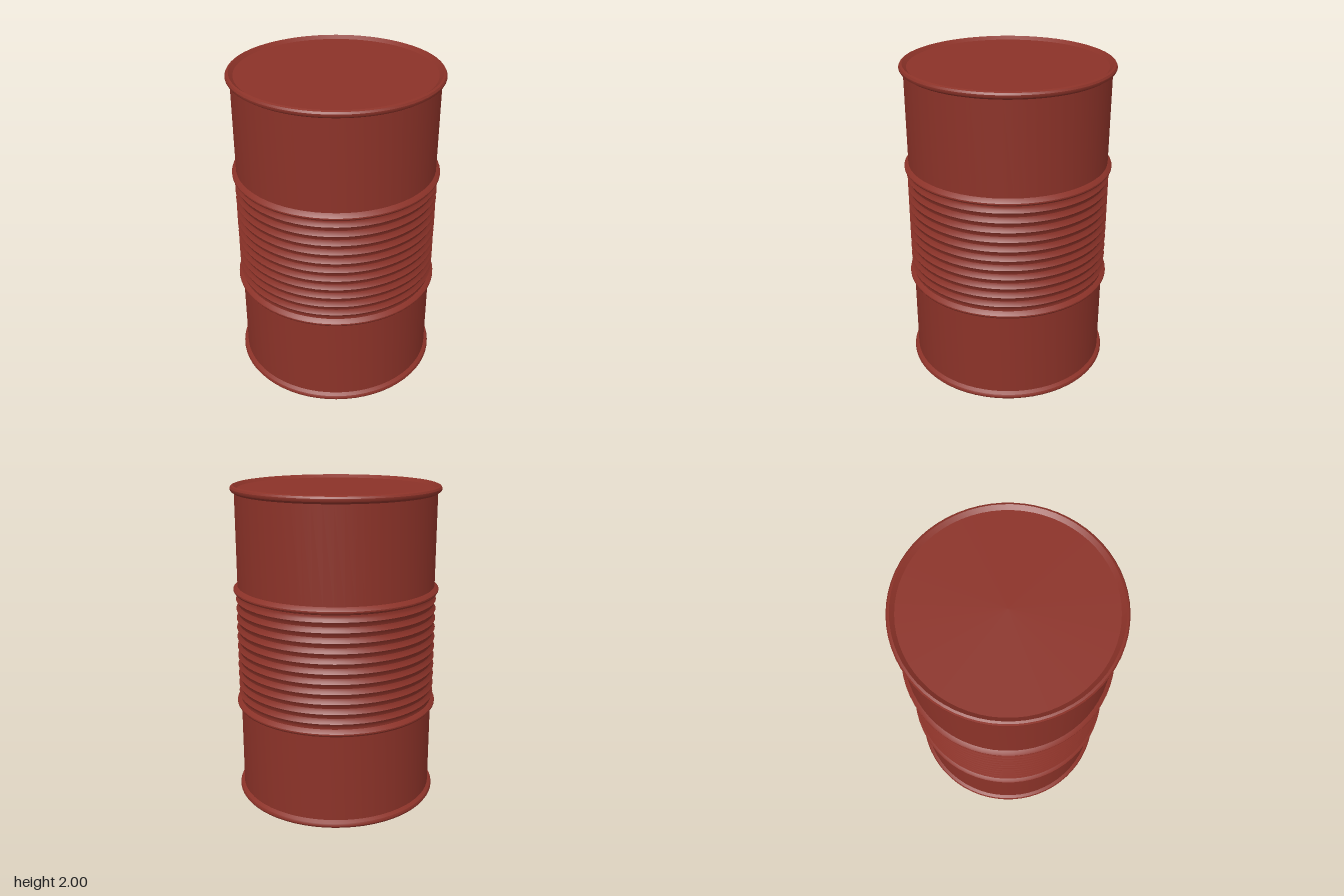
import * as THREE from 'three';
import { toCreasedNormals } from 'three/addons/utils/BufferGeometryUtils.js';

const SEGMENTS = 64;
const BODY = 0.62; // shell radius
const LOW = 0.62, HIGH = 1.36; // heights of the two rolling hoops

export function createModel() {
  const drum = new THREE.Group();
  drum.name = 'drum';
  const redPaint = new THREE.MeshStandardMaterial({ color: 0x8b3228, side: THREE.DoubleSide });
  redPaint.name = 'redPaint';

  // Revolves [radius, height] pairs; upward profiles face outward
  const addLathe = (name, profile) => {
    const points = profile.map(([r, y]) => new THREE.Vector2(r, y));
    const geometry = toCreasedNormals(new THREE.LatheGeometry(points, SEGMENTS), 0.5);
    const mesh = new THREE.Mesh(geometry, redPaint);
    mesh.name = name;
    drum.add(mesh);
  };

  // Plain shell walls
  addLathe('lowerShell', [[BODY, 0.04], [BODY, LOW]]);
  addLathe('upperShell', [[BODY, HIGH], [BODY, 1.96]]);

  // Corrugated middle: eleven ribs with sharp crests and soft valleys
  const ribs = [[BODY, LOW]];
  const pitch = (HIGH - LOW) / 12;
  for (let i = 1; i < 12; i++) {
    const y = LOW + i * pitch;
    ribs.push([0.617, y - pitch / 2], [0.621, y - pitch * 0.25], [0.632, y],
      [0.621, y + pitch * 0.25]);
  }
  ribs.push([0.617, HIGH - pitch / 2], [BODY, HIGH]);
  addLathe('ribbedShell', ribs);

  // Rolling hoops
  for (const [name, y] of [['lowerHoop', LOW], ['upperHoop', HIGH]]) {
    addLathe(name, [[BODY, y - 0.022], [0.638, y - 0.015], [0.645, y - 0.004],
      [0.645, y + 0.004], [0.638, y + 0.012], [BODY, y + 0.025]]);
  }

  // Rolled rims, with lips sloping inward
  const rim = [[BODY, 1.953], [0.64, 1.966], [0.645, 1.976], [0.645, 1.984],
    [0.638, 1.995], [0.625, 2], [0.6, 1.98]];
  addLathe('topRim', rim);
  addLathe('bottomRim', rim.map(([r, y]) => [r === 0.6 ? 0.606 : r, 2 - y]).reverse());

  // Lid; the underside stays open
  addLathe('lid', [[0.6, 1.98], [0, 1.98]]);

  return drum;
}
